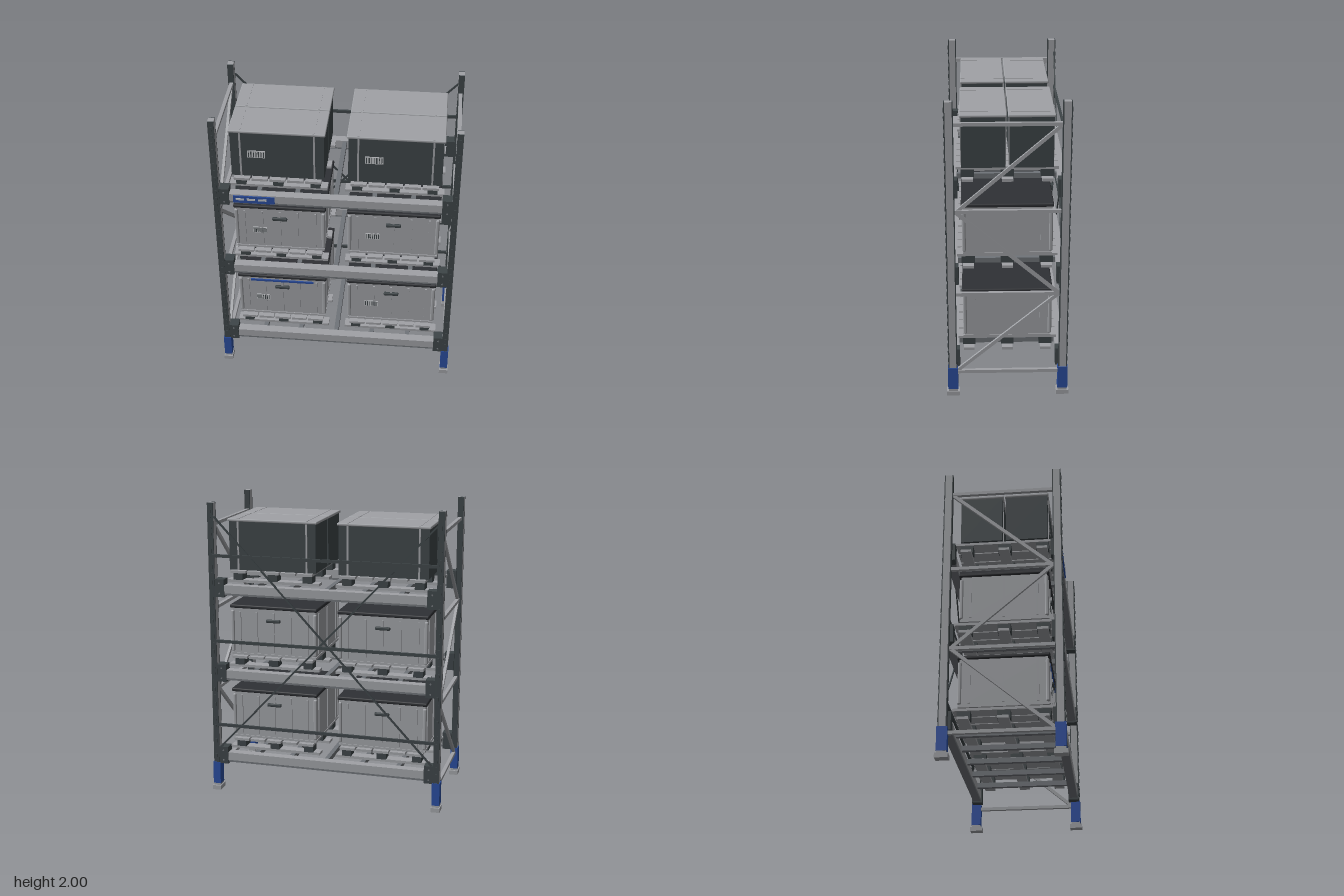
import * as THREE from 'three';
import { RoundedBoxGeometry } from 'three/addons/geometries/RoundedBoxGeometry.js';

const mat = (name, hex) => {
  const m = new THREE.MeshStandardMaterial({ color: hex });
  m.name = name;
  return m;
};

export function createModel() {
  const root = new THREE.Group();
  root.name = 'loadedPalletRack';
  const steel = mat('galvanised grey', 0xa0a2a6);
  const dark = mat('dark slate', 0x3e4548);
  const black = mat('charcoal', 0x2f3135);
  const mid = mat('mid grey', 0x707479);
  const blue = mat('safety blue', 0x2a4d9e);
  const pale = mat('label grey', 0xc0c2c5);

  const add = (parent, name, geo, m, x, y, z) => {
    const mesh = new THREE.Mesh(geo, m);
    mesh.name = name;
    mesh.position.set(x, y, z);
    parent.add(mesh);
    return mesh;
  };
  // Box given by its ranges on each axis
  const box = (parent, name, m, x0, x1, y0, y1, z0, z1) =>
    add(parent, name, new THREE.BoxGeometry(x1 - x0, y1 - y0, z1 - z0), m,
      (x0 + x1) / 2, (y0 + y1) / 2, (z0 + z1) / 2);
  // Square bar between two points
  const bar = (parent, name, m, a, b, w, d) => {
    const p = new THREE.Vector3(...a), q = new THREE.Vector3(...b);
    const dir = q.clone().sub(p);
    const c = p.clone().add(q).multiplyScalar(0.5);
    const mesh = add(parent, name, new THREE.BoxGeometry(w, dir.length(), d), m, c.x, c.y, c.z);
    mesh.quaternion.setFromUnitVectors(new THREE.Vector3(0, 1, 0), dir.normalize());
    return mesh;
  };
  const group = (parent, name, x = 0, y = 0, z = 0) => {
    const g = new THREE.Group();
    g.name = name;
    g.position.set(x, y, z);
    parent.add(g);
    return g;
  };

  // Uprights with slotted dark faces, blue guards and base plates
  for (const sx of [-1, 1]) for (const sz of [-1, 1]) {
    const g = group(root, 'upright', sx * 0.77, 0, sz * 0.358);
    box(g, 'post', steel, -0.02, 0.02, 0.03, 2, -0.022, 0.022);
    for (const s of [-1, 1]) {
      add(g, 'slottedFace', new THREE.BoxGeometry(0.04, 1.97, 0.006), dark, 0, 1.015, s * 0.025);
    }
    for (let y = 0.25; y < 1.97; y += 0.053) {
      add(g, 'slot', new THREE.BoxGeometry(0.014, 0.026, 0.004), dark, 0, y, sz * 0.03);
    }
    box(g, 'guard', blue, -0.026, 0.026, 0.045, 0.2, -0.033, 0.033);
    box(g, 'footCollar', steel, -0.024, 0.024, 0.03, 0.05, -0.03, 0.03);
    box(g, 'basePlate', steel, -0.03, 0.03, 0, 0.03, -0.042, 0.042);
  }

  // End frames: horizontal and zigzag bracing
  for (const sx of [-1, 1]) {
    const g = group(root, 'endFrame', sx * 0.768);
    for (const y of [0.165, 0.725, 1.29, 1.855]) {
      box(g, 'frameTie', steel, -0.012, 0.012, y - 0.011, y + 0.011, -0.335, 0.335);
    }
    const ys = [0.175, 0.725, 1.285, 1.845];
    for (let i = 0; i < 3; i++) {
      const s = i % 2 ? -1 : 1;
      bar(g, 'frameDiagonal', steel, [0, ys[i], s * 0.325], [0, ys[i + 1], -s * 0.325], 0.018, 0.022);
    }
  }

  // Back rails and crossed rods
  const back = group(root, 'backBracing');
  for (const y of [0.475, 1.067, 1.65]) {
    box(back, 'backRail', dark, -0.76, 0.76, y - 0.01, y + 0.01, -0.39, -0.376);
  }
  for (const s of [-1, 1]) {
    bar(back, 'crossRod', dark, [-s * 0.75, 1.91, -0.376], [s * 0.75, 0.3, -0.376], 0.012, 0.008);
  }

  // Barcode plate, its back against z = 0
  const barcode = (parent, x, y, z, w, h) => {
    const g = group(parent, 'barcodeLabel', x, y, z);
    add(g, 'labelPlate', new THREE.BoxGeometry(w, h, 0.004), pale, 0, 0, 0.002);
    for (let i = 0; i < 7; i++) {
      const t = i % 3 === 1 ? 0.008 : 0.005;
      add(g, 'labelBar', new THREE.BoxGeometry(t, h * 0.8, 0.002), dark, (i - 3) * w * 0.14, 0, 0.005);
    }
  };

  // Pallet: runners, blocks and deck boards, standing on y = 0
  const addPallet = (parent) => {
    const g = group(parent, 'pallet');
    for (const z of [-0.25, 0, 0.25]) {
      box(g, 'runner', steel, -0.32, 0.32, 0, 0.018, z - 0.035, z + 0.035);
      for (const x of [-0.242, 0, 0.242]) {
        box(g, 'palletBlock', dark, x - 0.032, x + 0.032, 0.018, 0.069, z - 0.042, z + 0.042);
      }
    }
    for (let i = -2; i <= 2; i++) {
      const x = i * 0.1155;
      box(g, 'deckBoard', steel, x - 0.052, x + 0.052, 0.069, 0.086, -0.32, 0.32);
    }
  };

  // Ribbed light crate with dark lid
  const addCrate = (parent, striped) => {
    const g = group(parent, 'crate', 0, 0.086, 0);
    box(g, 'crateBody', steel, -0.293, 0.293, 0, 0.33, -0.278, 0.278);
    box(g, 'crateFoot', steel, -0.297, 0.297, 0, 0.014, -0.284, 0.284);
    add(g, 'crateLid', new RoundedBoxGeometry(0.614, 0.024, 0.586, 2, 0.008), black, 0, 0.337, 0);
    for (const s of [-1, 1]) {
      for (const x of [-0.237, -0.118, 0, 0.118, 0.237]) {
        add(g, 'crateRib', new THREE.BoxGeometry(0.013, 0.275, 0.016), steel, x, 0.165, s * 0.28);
      }
      for (const z of [-0.215, 0, 0.215]) {
        add(g, 'endRib', new THREE.BoxGeometry(0.014, 0.275, 0.011), steel, s * 0.295, 0.165, z)
          .geometry.rotateY(Math.PI / 2);
      }
      for (const t of [-1, 1]) {
        add(g, 'cornerPost', new RoundedBoxGeometry(0.024, 0.285, 0.024, 2, 0.008), steel,
          s * 0.29, 0.165, t * 0.276);
      }
      add(g, 'handle', new RoundedBoxGeometry(0.1, 0.022, 0.02, 2, 0.006), dark, 0, 0.247, s * 0.286);
    }
    barcode(g, -0.135, 0.15, 0.284, 0.094, 0.045);
    if (striped) box(g, 'blueStripe', blue, -0.217, 0.217, 0.294, 0.308, 0.281, 0.29);
  };

  // Pair of dark strapped cartons with light lids
  const addCartons = (parent) => {
    const g = group(parent, 'cartonPair', 0, 0.086, 0);
    for (const s of [-1, 1]) {
      const c = group(g, 'carton', 0, 0, s * 0.15);
      box(c, 'cartonBody', dark, -0.3, 0.3, 0, 0.328, -0.137, 0.137);
      add(c, 'cartonLid', new RoundedBoxGeometry(0.62, 0.018, 0.292, 2, 0.006), steel, 0, 0.334, 0);
      for (const x of [-0.237, 0.237]) {
        box(c, 'strap', steel, x - 0.006, x + 0.006, 0, 0.345, -0.142, 0.142);
      }
    }
    barcode(g, -0.135, 0.169, 0.287, 0.115, 0.052);
  };

  // Three storage levels
  [0.278, 0.868, 1.456].forEach((top, i) => {
    const level = group(root, 'level', 0, top, 0);
    for (const s of [-1, 1]) {
      const z = s * 0.347;
      add(level, 'beam', new THREE.BoxGeometry(1.4, 0.055, 0.06), steel, 0, -0.031, z);
      add(level, 'beamLip', new THREE.BoxGeometry(1.4, 0.014, 0.054), mid, 0, -0.0655, z);
      for (const t of [-1, 1]) {
        box(level, 'beamConnector', dark, t * 0.72 - 0.033, t * 0.72 + 0.033, -0.085, 0.036, z - 0.036, z + 0.036);
        for (const y of [-0.06, 0.01]) {
          const bolt = new THREE.CylinderGeometry(0.006, 0.006, 0.006, 8).rotateX(Math.PI / 2);
          add(level, 'bolt', bolt, mid, t * 0.72, y, s * 0.384);
        }
      }
    }
    for (const x of [-0.5, -0.25, 0, 0.25, 0.5]) {
      box(level, 'crossSupport', mid, x - 0.015, x + 0.015, -0.042, -0.008, -0.32, 0.32);
    }
    for (const s of [-1, 1]) {
      const load = group(level, 'load', s * 0.377, 0.002, 0);
      addPallet(load);
      if (i < 2) addCrate(load, i === 0 && s < 0);
      else addCartons(load);
    }
  });

  // Blue plate on the top front beam
  const sign = group(root, 'beamPlate', -0.525, 1.42, 0.381);
  add(sign, 'plate', new THREE.BoxGeometry(0.27, 0.052, 0.008), blue, 0, 0, 0);
  for (const x of [-0.09, -0.018, 0.055]) {
    add(sign, 'plateMark', new THREE.BoxGeometry(0.054, 0.015, 0.003), pale, x, 0.003, 0.005);
  }
  return root;
}
